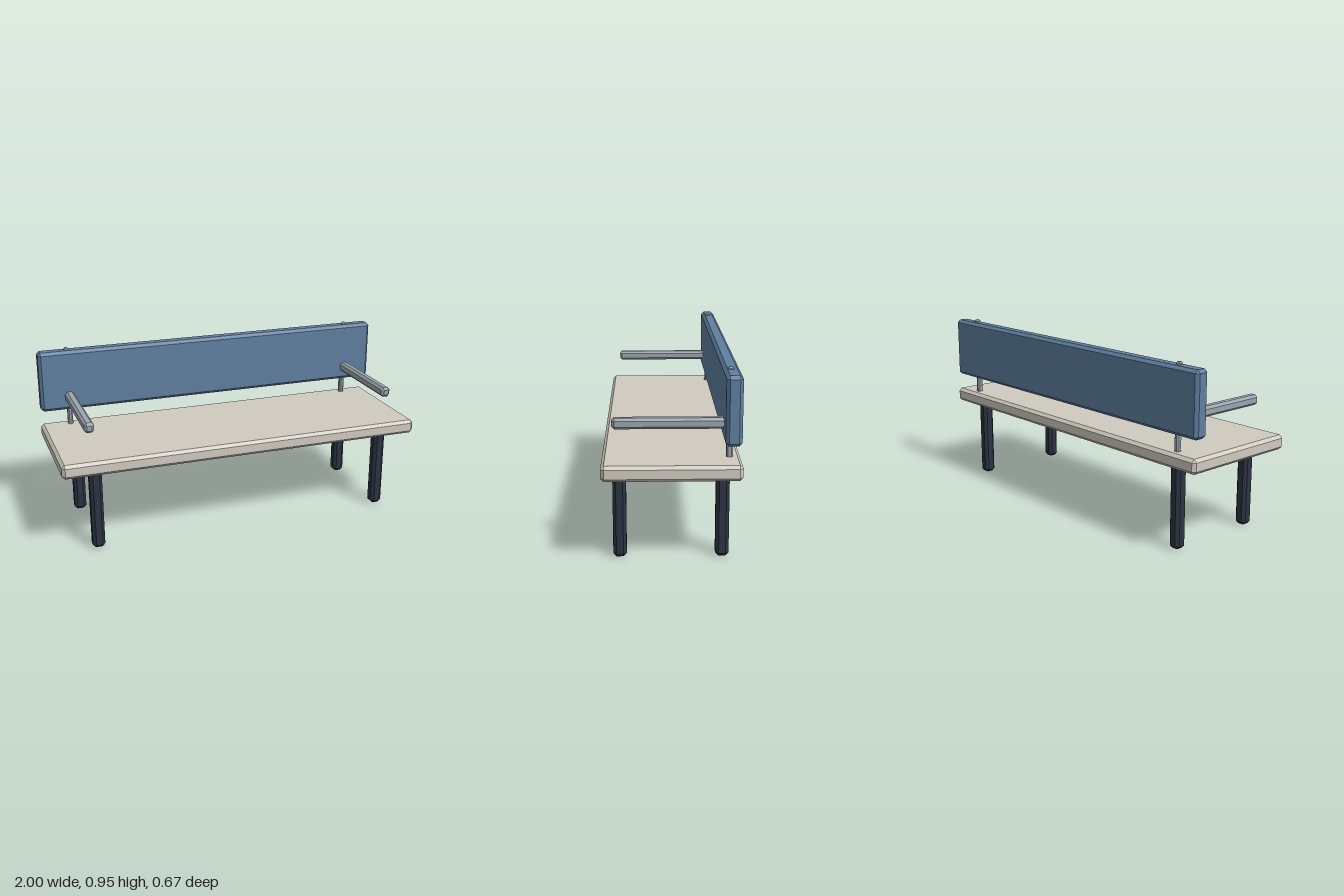
import * as THREE from 'three';
import { ConvexGeometry } from 'three/addons/geometries/ConvexGeometry.js';

const material = (color) => new THREE.MeshStandardMaterial({ color, flatShading: true });

// Box with every edge cut by a flat chamfer, given by its min and max corners
function chamferBox(name, min, max, bevel, mat) {
  const lo = new THREE.Vector3(...min), hi = new THREE.Vector3(...max);
  const half = hi.clone().sub(lo).multiplyScalar(0.5);
  const points = [];
  for (const sx of [-1, 1]) for (const sy of [-1, 1]) for (const sz of [-1, 1]) {
    for (const axis of [0, 1, 2]) {
      // one point per face touching this corner: full reach on that axis only
      const p = half.clone().subScalar(bevel);
      p.setComponent(axis, half.getComponent(axis));
      points.push(p.multiply(new THREE.Vector3(sx, sy, sz)));
    }
  }
  const mesh = new THREE.Mesh(new ConvexGeometry(points), mat);
  mesh.name = name;
  mesh.position.copy(lo).add(hi).multiplyScalar(0.5);
  return mesh;
}

export function createModel() {
  const bench = new THREE.Group();
  bench.name = 'bench';
  const cream = material(0xd0cbc0);
  const blue = material(0x5f7f9f);
  const dark = material(0x2b3442);
  const metal = material(0x9aa5ae);

  // Seat slab and backrest panel
  bench.add(chamferBox('seat', [-1, 0.435, -0.333], [1, 0.512, 0.333], 0.016, cream));
  bench.add(chamferBox('backrest', [-1, 0.602, -0.325], [1, 0.937, -0.247], 0.016, blue));

  for (const [side, s] of [['left', 1], ['right', -1]]) {
    // Legs
    for (const [end, z] of [['Front', 0.25], ['Back', -0.25]]) {
      const x = s * 0.82, r = 0.033;
      bench.add(chamferBox(side + end + 'Leg', [x - r, 0, z - r], [x + r, 0.437, z + r], 0.016, dark));
    }
    // Backrest post, running through the panel, and armrest
    const x = s * 0.84;
    bench.add(chamferBox(side + 'Post', [x - 0.014, 0.43, -0.295], [x + 0.014, 0.951, -0.263], 0.008, metal));
    bench.add(chamferBox(side + 'Armrest', [x - 0.026, 0.652, -0.283], [x + 0.026, 0.706, 0.283], 0.013, metal));
  }
  return bench;
}
